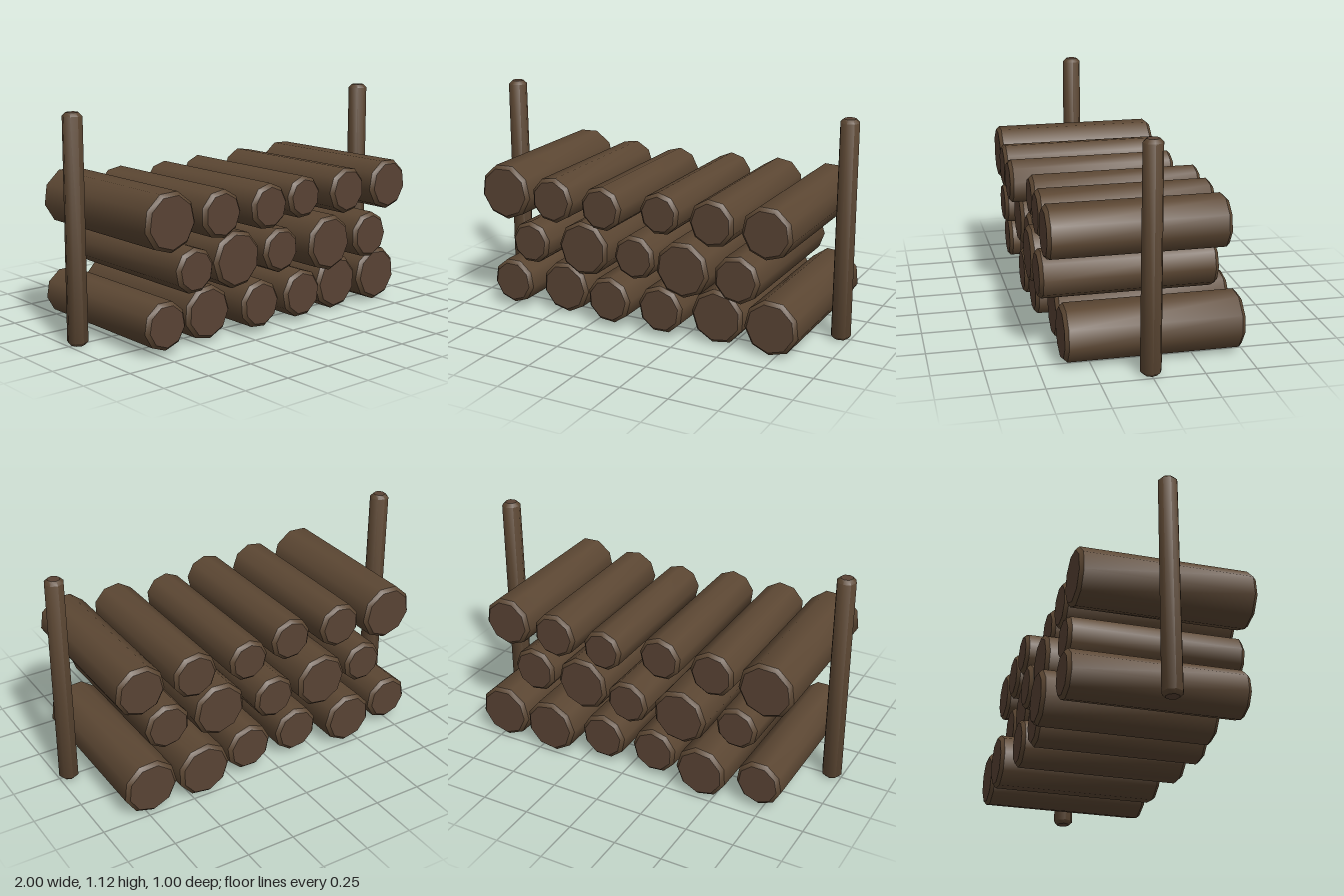
import * as THREE from 'three';
import { toCreasedNormals } from 'three/addons/utils/BufferGeometryUtils.js';

const bark = new THREE.MeshStandardMaterial({ color: 0x5c4733 });
bark.name = 'bark';
const cutWood = new THREE.MeshStandardMaterial({ color: 0x594334 });
cutWood.name = 'cutWood';

// Chamfered round timber lying along z, centred on its own origin
function timber(name, rBack, rFront, length, chamfer, sides) {
  const h = length / 2;
  const profile = [
    [rBack - chamfer, -h], [rBack, -h + chamfer],
    [rFront, h - chamfer], [rFront - chamfer, h],
  ].map(([r, y]) => new THREE.Vector2(r, y));
  const side = new THREE.LatheGeometry(profile, sides).rotateX(Math.PI / 2);
  const group = new THREE.Group();
  group.name = name;
  const body = new THREE.Mesh(toCreasedNormals(side, sides > 8 ? 0.72 : 0.79), bark);
  body.name = name + 'Bark';
  group.add(body);
  for (const [r, z, turn, end] of [[rFront, h, 0, 'FrontEnd'], [rBack, -h, Math.PI, 'BackEnd']]) {
    const disc = new THREE.CircleGeometry(r - chamfer, sides, -Math.PI / 2).rotateY(turn);
    const cap = new THREE.Mesh(disc, cutWood);
    cap.name = name + end;
    cap.position.z = z;
    group.add(cap);
  }
  return group;
}

export function createModel() {
  const model = new THREE.Group();
  model.name = 'logStack';

  // Stacked rows: each log is [radius, z offset]
  const rows = [
    { name: 'bottomLog', y: 0.146, x: -0.73, logs: [[0.12, -0.01], [0.136, -0.059], [0.122, -0.005], [0.124, -0.015], [0.142, -0.064], [0.143, -0.053]] },
    { name: 'middleLog', y: 0.396, x: -0.585, logs: [[0.111, 0.03], [0.144, -0.01], [0.115, -0.015], [0.144, 0.031], [0.121, 0.034]] },
    { name: 'topLog', y: 0.648, x: -0.73, logs: [[0.146, 0.034], [0.119, 0.048], [0.114, 0.059], [0.108, -0.005], [0.12, 0.011], [0.132, 0.022]] },
  ];
  rows.forEach((row, j) => row.logs.forEach(([r, z], i) => {
    const log = timber(row.name + (i + 1), r, r, 0.872, 0.018, 9);
    log.position.set(row.x + i * 0.291, row.y, z);
    log.rotation.z = (i * 6 + j) * 0.37;
    model.add(log);
  }));

  // Upright posts at both ends
  for (const s of [-1, 1]) {
    const post = timber(s > 0 ? 'leftPost' : 'rightPost', 0.052, 0.049, 1.125, 0.018, 8);
    post.rotation.x = -Math.PI / 2;
    post.position.set(s * 0.948, 0.5625, 0);
    model.add(post);
  }
  return model;
}
